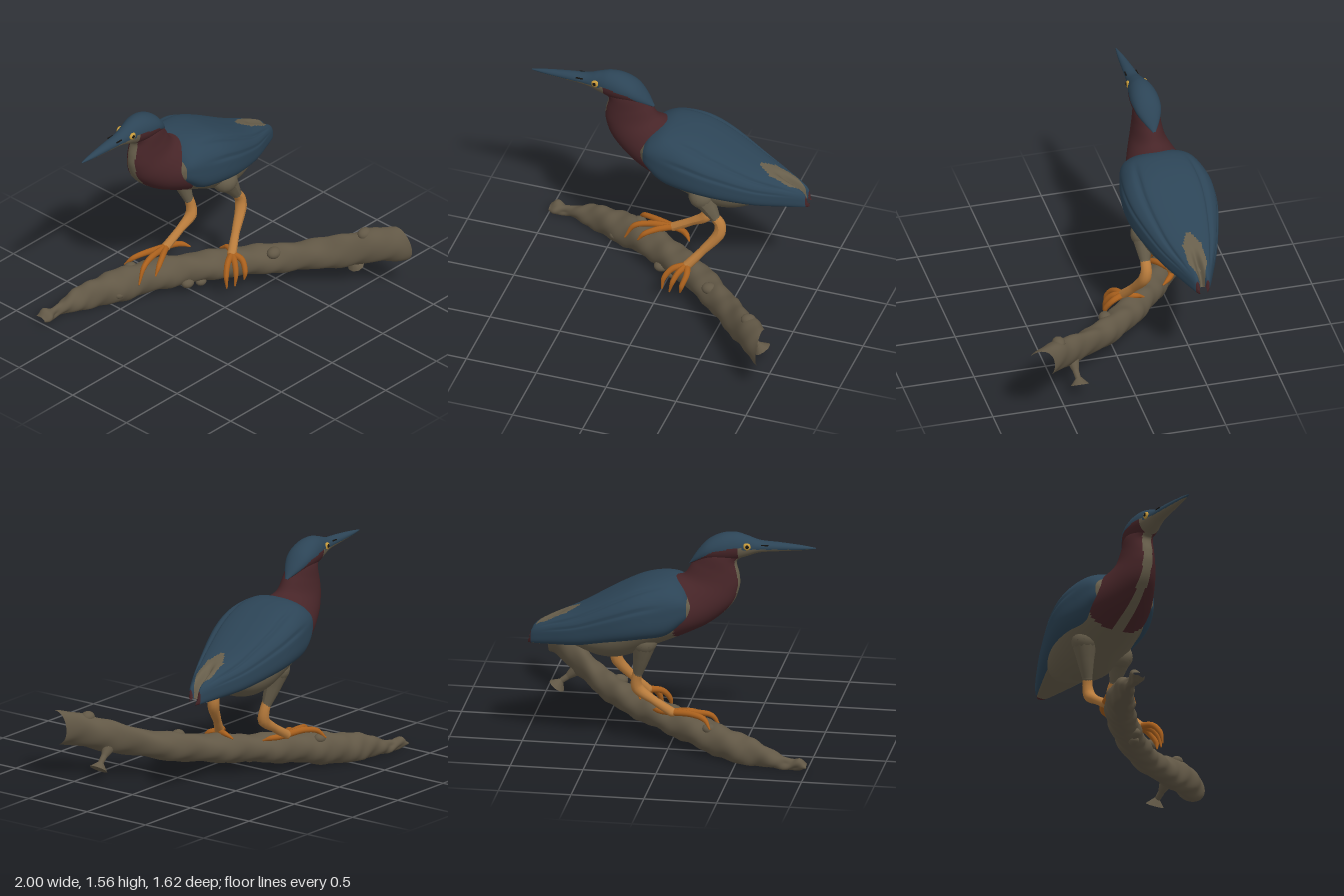
import * as THREE from 'three';

const flat = (name, color) => Object.assign(new THREE.MeshStandardMaterial({ color }), { name });
const BLUE = flat('slate blue plumage', 0x2c4456);
const MAROON = flat('maroon plumage', 0x472528);
const TAN = flat('olive grey plumage', 0x675e4b);
const BARK = flat('bark', 0x625846);
const LEG = flat('ochre leg', 0xb97c3c);
const FOOT = flat('orange foot', 0xa85f1c);
const YELLOW = flat('yellow iris', 0xc79a3a);
const BLACK = flat('black', 0x14120f);

// The bird's centre line drifts slightly in z from bill to tail
const mid = x => -0.44 - 0.05 * x;
const bump = (v, w) => Math.exp(-((v / w) ** 2));

// Upright cross-section at x: [bottom x, bottom y, top x, top y, half width, centre z]
const upright = ([x, top, bottom, half, z = mid(x)]) => [x, bottom, x, top, half, z];
// Tilted cross-section between a front/lower point and a back/upper point
const tilted = ([fx, fy, bx, by, half]) => [fx, fy, bx, by, half, mid((fx + bx) / 2)];

// Skin smooth cross-sections running towards +x; pick() chooses a material per face
function loft(name, rings, mats, { n = 80, m = 56, up = 1, low = 1, warp, pick = () => 0 } = {}) {
  const a3 = new THREE.CatmullRomCurve3(rings.map(r => new THREE.Vector3(r[0], r[1], r[4])), false, 'catmullrom', 0.5);
  const b3 = new THREE.CatmullRomCurve3(rings.map(r => new THREE.Vector3(r[2], r[3], r[5])), false, 'catmullrom', 0.5);
  const pos = [], faces = mats.map(() => []);
  const pw = (v, p) => Math.sign(v) * Math.abs(v) ** p;
  const info = [];
  for (let i = 0; i <= n; i++) {
    const lo = a3.getPoint(i / n), hi = b3.getPoint(i / n);
    for (let j = 0; j < m; j++) {
      const a = (j / m) * Math.PI * 2, p = Math.sin(a) >= 0 ? up : low;
      const s = pw(Math.sin(a), p) / 2, c = pw(Math.cos(a), p);
      const v = new THREE.Vector3((lo.x + hi.x) / 2 + (hi.x - lo.x) * s,
        (lo.y + hi.y) / 2 + (hi.y - lo.y) * s, hi.z + lo.z * c);
      if (warp) warp(v, a, hi.z);
      pos.push(v.x, v.y, v.z);
      info.push([v.x, v.y, v.z - hi.z, a]);
    }
  }
  for (let i = 0; i < n; i++) for (let j = 0; j < m; j++) {
    const k = (j + 1) % m, A = i * m + j, B = A + m, C = (i + 1) * m + k, D = i * m + k;
    const q = [0, 1, 2].map(e => (info[A][e] + info[C][e]) / 2);
    faces[pick(...q, Math.sin(info[A][3] + Math.PI / m))].push(A, B, C, A, C, D);
  }
  // Flat end caps with their own corners
  for (const [i, flip] of [[0, true], [n, false]]) {
    const base = pos.length / 3, ctr = [0, 0, 0];
    for (let j = 0; j < m; j++) for (let e = 0; e < 3; e++) {
      const v = pos[(i * m + j) * 3 + e];
      pos.push(v);
      ctr[e] += v / m;
    }
    pos.push(...ctr);
    const f = faces[pick(ctr[0], ctr[1], 0, 0)];
    for (let j = 0; j < m; j++) {
      const p = base + j, q = base + (j + 1) % m;
      flip ? f.push(base + m, p, q) : f.push(base + m, q, p);
    }
  }
  const g = new THREE.BufferGeometry();
  g.setAttribute('position', new THREE.Float32BufferAttribute(pos, 3));
  let start = 0;
  faces.forEach((f, i) => { g.addGroup(start, f.length, i); start += f.length; });
  // Caps wind opposite to the skin's ring order, so flip them to face outwards
  const idx = faces.flat(), limit = (n + 1) * m;
  for (let i = 0; i < idx.length; i += 3)
    if (idx[i] >= limit) [idx[i + 1], idx[i + 2]] = [idx[i + 2], idx[i + 1]];
  g.setIndex(idx);
  g.computeVertexNormals();
  const mesh = new THREE.Mesh(g, mats);
  mesh.name = name;
  return mesh;
}

function ball(name, mat, [x, y, z], r, s = [1, 1, 1]) {
  const mesh = new THREE.Mesh(new THREE.SphereGeometry(r, 16, 12), mat);
  mesh.position.set(x, y, z);
  mesh.scale.set(...s);
  mesh.name = name;
  return mesh;
}

// Round limb through [x, y, z, radius] points, with rounded ends
function limb(name, mat, pts, n = 24) {
  const curve = new THREE.CatmullRomCurve3(pts.map(p => new THREE.Vector3(p[0], p[1], p[2])));
  const g = new THREE.TubeGeometry(curve, n, 1, 12), P = g.attributes.position, v = new THREE.Vector3();
  for (let i = 0; i <= n; i++) {
    const c = curve.getPointAt(i / n), t = curve.getUtoTmapping(i / n) * (pts.length - 1);
    const k = Math.min(Math.floor(t), pts.length - 2);
    const r = THREE.MathUtils.lerp(pts[k][3], pts[k + 1][3], t - k);
    for (let j = 0; j <= 12; j++) {
      const id = i * 13 + j;
      v.fromBufferAttribute(P, id).sub(c).multiplyScalar(r).add(c);
      P.setXYZ(id, v.x, v.y, v.z);
    }
  }
  g.computeVertexNormals();
  const group = new THREE.Group(), tube = new THREE.Mesh(g, mat);
  tube.name = name + 'Shaft';
  group.name = name;
  group.add(tube);
  for (const p of [pts[0], pts[pts.length - 1]]) group.add(ball(name + 'End', mat, p, p[3]));
  return group;
}

export function createModel() {
  const model = new THREE.Group();
  model.name = 'birdOnBranch';

  // Neck, chest and belly
  model.add(loft('body', [
    [-0.5, 1.39, -0.37, 1.5, 0.05], [-0.46, 1.35, -0.23, 1.45, 0.085], [-0.48, 1.26, -0.16, 1.34, 0.098],
    [-0.48, 1.17, -0.1, 1.25, 0.118], [-0.43, 1.05, 0, 1.22, 0.16], [-0.3, 0.93, 0.1, 1.19, 0.215],
    [-0.15, 0.85, 0.2, 1.14, 0.25], [0.05, 0.765, 0.32, 1.09, 0.27], [0.28, 0.665, 0.45, 1.02, 0.25],
    [0.45, 0.655, 0.58, 0.95, 0.205], [0.65, 0.725, 0.72, 0.88, 0.13], [0.85, 0.77, 0.86, 0.84, 0.045],
  ].map(tilted), [MAROON, TAN], {
    n: 120, m: 80,
    pick: (x, y, dz, s) => (x > -0.06 && y < 1.2) || (s < 0 && Math.abs(dz) < 0.035) ? 1 : 0,
  }));

  // Back and folded wings in one shell, with feather creases and a notched tail
  model.add(loft('backAndWings', [
    [-0.19, 1.09, 1.03, 0.165], [-0.17, 1.13, 0.99, 0.2], [-0.11, 1.2, 0.93, 0.25], [0, 1.24, 0.85, 0.288],
    [0.17, 1.215, 0.82, 0.313], [0.35, 1.135, 0.79, 0.293], [0.6, 1.0, 0.745, 0.21],
    [0.8, 0.915, 0.725, 0.12], [0.92, 0.85, 0.715, 0.06], [0.96, 0.78, 0.715, 0.025],
  ].map(upright), [BLUE, TAN, MAROON], {
    n: 100, m: 112, up: 0.82, low: 0.55,
    warp(v, a, z) {
      const side = Math.asin(Math.abs(Math.sin(a))) * Math.sign(Math.sin(a));
      const fade = THREE.MathUtils.smoothstep(v.x, -0.05, 0.2) * (1 - THREE.MathUtils.smoothstep(v.x, 0.7, 0.9));
      const crease = fade * (0.06 * bump(side - 0.95 + 0.35 * v.x, 0.08) + 0.03 * bump(side - 0.2, 0.06));
      v.z = z + (v.z - z) * (1 - crease);
      v.y -= 0.2 * crease;
      const notch = Math.sin(a) > 0 ? bump(v.z - z, 0.022) * THREE.MathUtils.smoothstep(v.x, 0.68, 0.88) : 0;
      v.y -= 0.035 * notch;
      v.x -= 0.05 * notch;
    },
    pick(x, y, dz, s) {
      if (x > 0.935) return 2;
      if (s < -0.8 || x < -0.15) return 1;
      return s > 0 && Math.abs(dz) < Math.min(0.065, (x - 0.6) * 0.7, (0.96 - x) * 0.5) ? 1 : 0;
    },
  }));

  // Head with bill and swept-back crest
  const capEdge = x => x < -0.5 ? 1.458 : x < -0.44 ? 1.472 : x < -0.3 ? 1.475 - (x + 0.44) * 0.25
    : 1.44 - (x + 0.3) * 0.7;
  model.add(loft('headAndBill', [
    [-1, 1.47, 1.462, 0.003], [-0.9, 1.485, 1.45, 0.02], [-0.75, 1.5, 1.438, 0.036], [-0.62, 1.51, 1.425, 0.048],
    [-0.53, 1.54, 1.395, 0.065], [-0.45, 1.56, 1.37, 0.086], [-0.36, 1.55, 1.36, 0.097],
    [-0.27, 1.505, 1.36, 0.088], [-0.2, 1.43, 1.345, 0.055], [-0.14, 1.335, 1.325, 0.008],
  ].map(upright), [BLUE, TAN, MAROON], {
    n: 110, m: 80,
    pick: (x, y) => y > capEdge(x) ? 0 : x < -0.48 ? 1 : 2,
  }));

  // Eyes and nostrils
  for (const s of [-1, 1]) {
    const z = mid(-0.535) + s * 0.06;
    model.add(ball('iris', YELLOW, [-0.537, 1.48, z], 0.028, [1, 0.9, 0.5]));
    model.add(ball('pupil', BLACK, [-0.54, 1.481, z + s * 0.009], 0.014, [1, 1, 0.5]));
    const nostril = new THREE.Mesh(new THREE.BoxGeometry(0.05, 0.007, 0.008), BLACK);
    nostril.position.set(-0.655, 1.487, mid(-0.655) + s * 0.04);
    nostril.name = 'nostril';
    model.add(nostril);
  }

  // Legs: feathered thigh, bare shank, bent joint, foot with gripping toes
  const legs = [
    {
      name: 'rightLeg',
      thigh: [[0.15, 0.8, -0.58, 0.09], [0.17, 0.68, -0.56, 0.06], [0.2, 0.55, -0.53, 0.034]],
      shank: [[0.2, 0.56, -0.53, 0.032], [0.215, 0.49, -0.52, 0.036], [0.205, 0.43, -0.51, 0.042],
        [0.1, 0.355, -0.515, 0.029], [-0.03, 0.275, -0.52, 0.032]],
      toes: [[[-0.2, 0.275, -0.5], [-0.3, 0.25, -0.475], [-0.36, 0.15, -0.46]],
        [[-0.18, 0.28, -0.56], [-0.27, 0.26, -0.6], [-0.31, 0.21, -0.64]],
        [[-0.13, 0.27, -0.46], [-0.21, 0.24, -0.42], [-0.25, 0.19, -0.41]],
        [[0.04, 0.27, -0.5], [0.08, 0.265, -0.47], [0.11, 0.25, -0.43]]],
    },
    {
      name: 'leftLeg',
      thigh: [[0.26, 0.8, -0.25, 0.09], [0.31, 0.73, -0.24, 0.06], [0.36, 0.65, -0.235, 0.036]],
      shank: [[0.35, 0.66, -0.235, 0.034], [0.395, 0.6, -0.235, 0.038], [0.395, 0.53, -0.225, 0.042],
        [0.29, 0.39, -0.175, 0.029], [0.2, 0.285, -0.125, 0.033]],
      toes: [[[0.11, 0.265, -0.08], [0.06, 0.2, -0.045], [0.05, 0.12, -0.03]],
        [[0.16, 0.26, -0.06], [0.13, 0.2, -0.02], [0.11, 0.12, -0.01]],
        [[0.22, 0.26, -0.05], [0.2, 0.19, 0], [0.19, 0.14, 0]],
        [[0.23, 0.285, -0.17], [0.24, 0.285, -0.21], [0.23, 0.26, -0.26]]],
    },
  ];
  for (const { name, thigh, shank, toes } of legs) {
    const leg = new THREE.Group();
    leg.name = name;
    leg.add(limb('thigh', TAN, thigh), limb('shank', LEG, shank));
    const ankle = shank[shank.length - 1];
    for (const [a, b, c] of toes)
      leg.add(limb('toe', FOOT, [[...ankle.slice(0, 3), 0.024], [...a, 0.021], [...b, 0.018], [...c, 0.006]]));
    model.add(leg);
  }

  // Branch: sawn end at +x, flat underside at the thin end
  model.add(loft('branch', [
    [-1, 0.05, 0.02, 0.035, -0.775], [-0.95, 0.085, 0, 0.05, -0.765], [-0.87, 0.07, 0, 0.033, -0.762],
    [-0.72, 0.14, -0.01, 0.06, -0.725], [-0.5, 0.2, -0.02, 0.1, -0.645], [-0.2, 0.245, 0.03, 0.12, -0.49],
    [0.1, 0.265, 0.07, 0.125, -0.28], [0.35, 0.29, 0.09, 0.13, -0.07], [0.55, 0.315, 0.12, 0.13, 0.14],
    [0.75, 0.39, 0.17, 0.125, 0.39], [0.9, 0.46, 0.215, 0.125, 0.57], [1, 0.465, 0.23, 0.122, 0.68],
  ].map(upright), [BARK], {
    n: 110, m: 40,
    warp(v, a) {
      const w = 0.006 * Math.sin(v.x * 23 + 2 * a) + 0.004 * Math.sin(v.x * 51 - 3 * a);
      v.y = Math.max(0, v.y + w * Math.sin(a));
      v.z += w * Math.cos(a);
    },
  }));
  for (const [x, y, z, r] of [[-0.46, 0.08, -0.55, 0.035], [-0.05, 0.09, -0.3, 0.04], [0.42, 0.27, 0.06, 0.045],
    [0.04, 0.08, -0.26, 0.035], [0.85, 0.42, 0.5, 0.045], [-0.3, 0.2, -0.6, 0.04]])
    model.add(ball('knot', BARK, [x, y, z], r, [1.2, 0.9, 1]));
  // Broken twig stub with a flared tip
  model.add(limb('twig', BARK, [[0.76, 0.22, 0.38, 0.05], [0.83, 0.16, 0.375, 0.022], [0.87, 0.13, 0.37, 0.02]]));
  const tip = new THREE.Mesh(new THREE.ConeGeometry(0.06, 0.07, 10), BARK);
  tip.position.set(0.885, 0.118, 0.365);
  tip.rotation.z = 0.6;
  tip.scale.z = 1.1;
  tip.name = 'twigTip';
  model.add(tip);
  return model;
}
